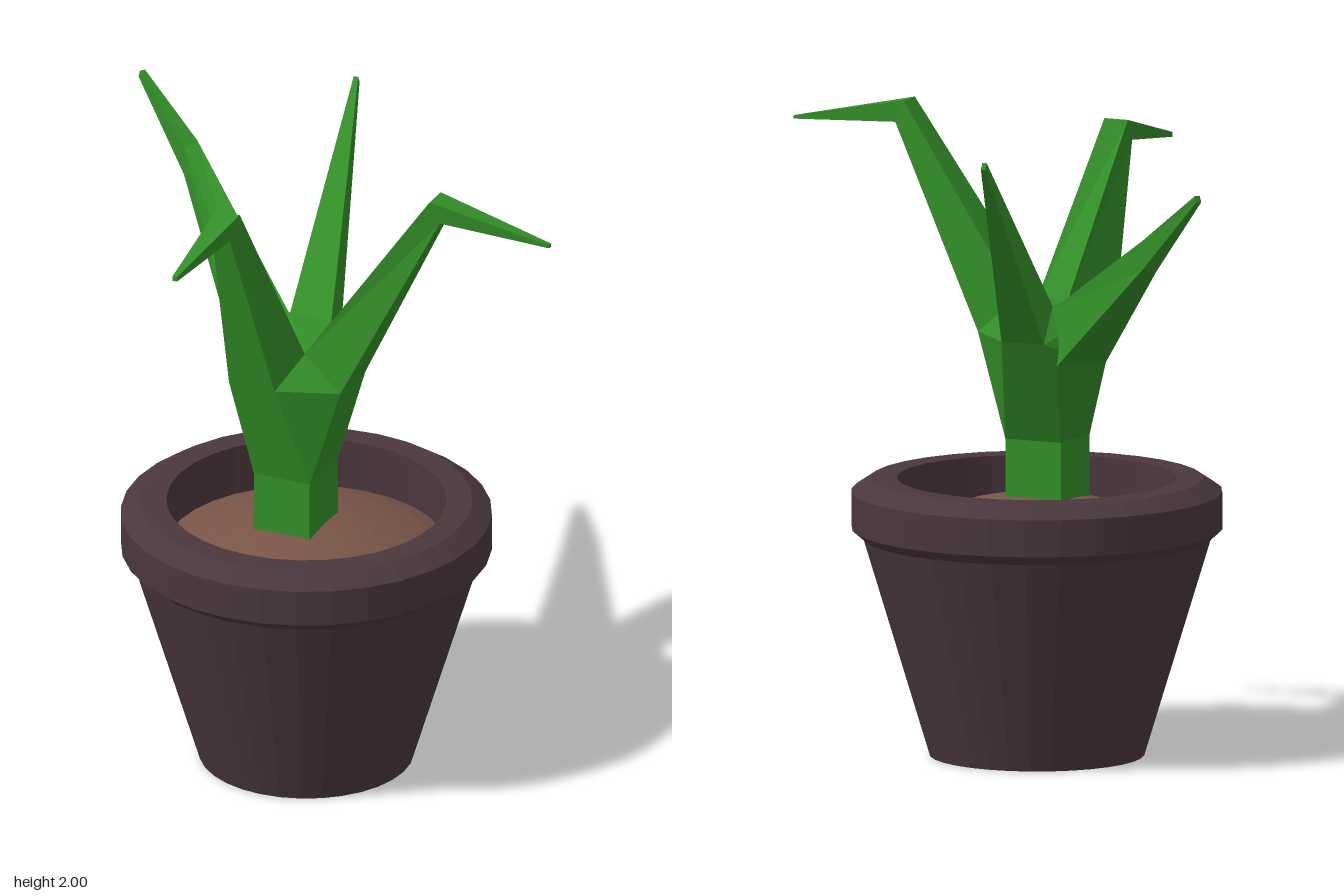
import * as THREE from 'three';
import { ConvexGeometry } from 'three/addons/geometries/ConvexGeometry.js';

const mat = (color) => new THREE.MeshStandardMaterial({ color, flatShading: true });

function add(parent, name, geometry, material) {
  const mesh = new THREE.Mesh(geometry, material);
  mesh.name = name;
  parent.add(mesh);
  return mesh;
}

const lathe = (points) =>
  new THREE.LatheGeometry(points.map(([r, y]) => new THREE.Vector2(r, y)), 32);

// Joins four-cornered sections (low left, low right, top right, top left) and caps the tip
function loft(sections) {
  const pos = [];
  const quad = (a, b, c, d) => pos.push(...a, ...b, ...c, ...a, ...c, ...d);
  for (let i = 0; i < sections.length - 1; i++) {
    const a = sections[i], b = sections[i + 1];
    for (let j = 0; j < 4; j++) {
      const k = (j + 1) % 4;
      quad(a[j], a[k], b[k], b[j]);
    }
  }
  quad(...sections[sections.length - 1]);
  const g = new THREE.BufferGeometry();
  g.setAttribute('position', new THREE.Float32BufferAttribute(pos, 3));
  g.computeVertexNormals();
  return g;
}

// Each leaf runs from its root on the crown to its tip
const leaves = {
  leftLeaf: [
    [[0.18, 1.31, 0.18], [0.18, 1.31, 0], [0.04, 1.41, 0], [0.05, 1.41, 0.16]],
    [[0.49, 1.93, 0.12], [0.49, 1.93, 0.055], [0.46, 2, 0.05], [0.46, 2, 0.13]],
    [[0.85, 1.91, 0.095], [0.85, 1.91, 0.08], [0.85, 1.92, 0.08], [0.85, 1.92, 0.095]],
  ],
  frontLeaf: [
    [[-0.155, 1.32, 0.27], [0, 1.32, 0.27], [0.05, 1.41, 0.16], [-0.1, 1.41, 0.05]],
    [[-0.15, 1.87, 0.4], [-0.09, 1.87, 0.4], [-0.08, 1.94, 0.35], [-0.16, 1.94, 0.35]],
    [[-0.155, 1.84, 0.67], [-0.14, 1.84, 0.67], [-0.14, 1.855, 0.67], [-0.155, 1.855, 0.67]],
  ],
  backLeaf: [
    [[0, 1.32, -0.2], [-0.145, 1.32, -0.2], [-0.11, 1.42, -0.07], [0.03, 1.42, -0.07]],
    [[-0.16, 1.935, -0.665], [-0.175, 1.935, -0.665], [-0.175, 1.955, -0.655], [-0.16, 1.955, -0.655]],
  ],
  rightLeaf: [
    [[-0.17, 1.25, -0.16], [-0.255, 1.24, 0], [-0.2, 1.38, 0.02], [-0.11, 1.41, -0.07]],
    [[-0.62, 1.63, -0.475], [-0.645, 1.62, -0.43], [-0.64, 1.71, -0.425], [-0.62, 1.72, -0.475]],
    [[-0.84, 1.865, -0.55], [-0.85, 1.865, -0.535], [-0.845, 1.885, -0.535], [-0.835, 1.885, -0.55]],
  ],
};

export function createModel() {
  const model = new THREE.Group();
  model.name = 'pottedPlant';
  const green = mat(0x338f28);

  // Pot with a bevelled rim and hollow top
  const pot = new THREE.Group();
  pot.name = 'pot';
  pot.position.set(0.005, 0, 0.055);
  model.add(pot);
  add(pot, 'potBody', lathe([
    [0, 0], [0.33, 0], [0.535, 0.675], [0.57, 0.705], [0.57, 0.82],
    [0.51, 0.86], [0.43, 0.86], [0.43, 0.66],
  ]), mat(0x4a373d));

  // Domed soil
  const soil = [];
  for (let i = 0; i <= 6; i++) {
    const t = i / 6;
    soil.push([0.43 * (1 - t), 0.7 + 0.11 * (1 - (1 - t) ** 2)]);
  }
  add(pot, 'soil', lathe(soil), mat(0x7a5548));

  // Square stem
  const plant = new THREE.Group();
  plant.name = 'plant';
  model.add(plant);
  const stem = add(plant, 'stem', new THREE.BoxGeometry(0.19, 0.285, 0.2), green);
  stem.position.set(-0.014, 0.8425, 0.09);

  // Crown flaring from the stem top to the leaf roots
  const crown = [];
  for (const x of [-0.109, 0.081])
    for (const z of [-0.01, 0.19]) crown.push(new THREE.Vector3(x, 0.985, z));
  for (const sections of Object.values(leaves))
    for (const p of sections[0]) crown.push(new THREE.Vector3(...p));
  add(plant, 'crown', new ConvexGeometry(crown), green);

  for (const [name, sections] of Object.entries(leaves)) add(plant, name, loft(sections), green);
  return model;
}
